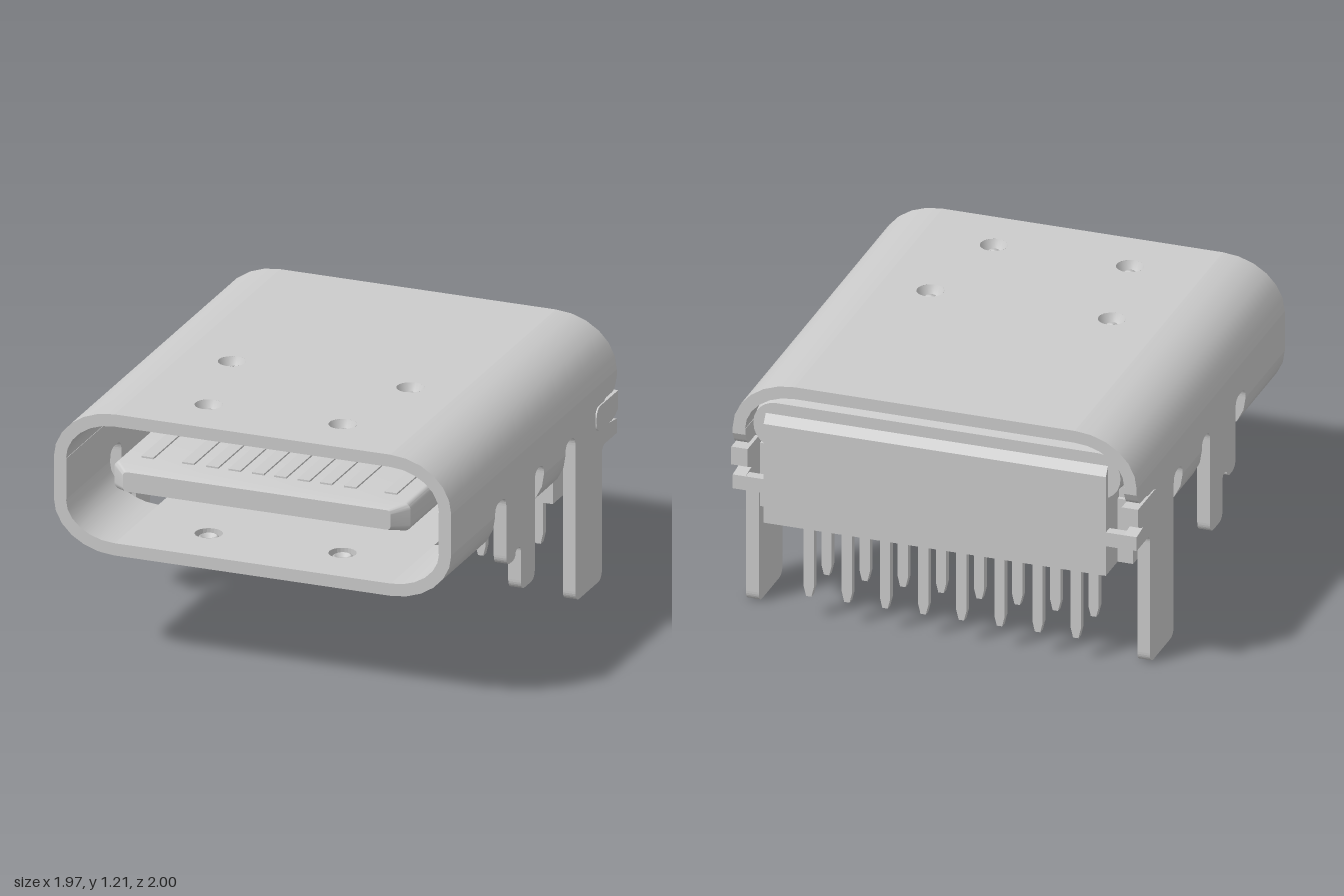
import * as THREE from 'three';
import { toCreasedNormals } from 'three/addons/utils/BufferGeometryUtils.js';

const material = new THREE.MeshStandardMaterial({ color: 0xcccccc });
const thinMaterial = new THREE.MeshStandardMaterial({ color: 0xcccccc, side: THREE.DoubleSide });

// Shell size: outer half width, corner centre and wall thickness
const HW = 0.98, CX = 0.68, TOP = 1.21, BOTTOM = 0.52, WALL = 0.06;
const SIDE_TOP = 0.96, SIDE_LOW = 0.76;

export function createModel() {
  const model = new THREE.Group();

  const add = (name, geometry, x = 0, y = 0, z = 0, mat = material) => {
    const mesh = new THREE.Mesh(geometry, mat);
    mesh.name = name;
    mesh.position.set(x, y, z);
    model.add(mesh);
    return mesh;
  };
  const box = (name, x0, x1, y0, y1, z0, z1) =>
    add(name, new THREE.BoxGeometry(x1 - x0, y1 - y0, z1 - z0), (x0 + x1) / 2, (y0 + y1) / 2, (z0 + z1) / 2);
  const extrude = (shape, depth, curveSegments = 8) =>
    new THREE.ExtrudeGeometry(shape, { depth, bevelEnabled: false, curveSegments });

  // Polygon whose corners [x, y, radius] may be rounded
  const roundedPolygon = (corners) => {
    const shape = new THREE.Shape();
    const v = corners.map(([x, y]) => new THREE.Vector2(x, y));
    corners.forEach(([x, y, r = 0], i) => {
      const prev = v[(i + v.length - 1) % v.length], next = v[(i + 1) % v.length];
      const toward = (p) => p.clone().sub(v[i]).setLength(r).add(v[i]);
      const a = toward(prev), b = toward(next);
      if (i === 0) shape.moveTo(a.x, a.y); else shape.lineTo(a.x, a.y);
      if (r > 0) shape.quadraticCurveTo(x, y, b.x, b.y);
    });
    return shape;
  };

  // Capped loft through rounded rectangles {z, w, y0, y1, r}
  const loft = (rings) => {
    const steps = 6, n = 4 * (steps + 1), pos = [], idx = [];
    for (const { z, w, y0, y1, r } of rings) {
      for (let c = 0; c < 4; c++) {
        const cx = (c === 0 || c === 3 ? 1 : -1) * (w - r);
        const cy = c < 2 ? y1 - r : y0 + r;
        for (let s = 0; s <= steps; s++) {
          const a = (c + s / steps) * Math.PI / 2;
          pos.push(cx + r * Math.cos(a), cy + r * Math.sin(a), z);
        }
      }
      pos.push(0, (y0 + y1) / 2, z);
    }
    const last = (rings.length - 1) * (n + 1);
    for (let i = 0; i < n; i++) {
      const j = (i + 1) % n;
      for (let k = 0; k < rings.length - 1; k++) {
        const a = k * (n + 1), b = a + n + 1;
        idx.push(a + i, a + j, b + j, a + i, b + j, b + i);
      }
      idx.push(n, j, i, last + n, last + i, last + j);
    }
    const g = new THREE.BufferGeometry();
    g.setAttribute('position', new THREE.Float32BufferAttribute(pos, 3));
    g.setIndex(idx);
    return toCreasedNormals(g, 0.5);
  };

  // Flat top and bottom of the shell, pierced for the dimples
  const plate = (name, y, z0, dimples, up) => {
    const shape = roundedPolygon([[-CX, z0], [CX, z0], [CX, 1], [-CX, 1]]);
    for (const [x, z] of dimples) shape.holes.push(new THREE.Path().absarc(x, z, 0.065, 0, Math.PI * 2, true));
    add(name, extrude(shape, WALL, 12).rotateX(Math.PI / 2), 0, up ? y : y + WALL, 0);
    const profile = [[0.065, 0], [0.045, -0.045], [0.035, -0.05], [0.025, -0.03], [0, -0.025]];
    for (const [x, z] of dimples) {
      const cup = new THREE.LatheGeometry(profile.map((p) => new THREE.Vector2(...p)), 20);
      if (!up) cup.rotateX(Math.PI);
      add('dimple', cup, x, y, z, thinMaterial);
    }
  };
  const frontDimples = [[-0.33, 0.72], [0.33, 0.72]];
  plate('shellTop', TOP, -1, [...frontDimples, [-0.44, 0.17], [0.44, 0.17]], true);
  plate('shellBottom', BOTTOM, -0.38, frontDimples, false);

  // Curved shell corners, cut into lengths along z
  const shellCorner = (name, side, up, z0, z1) => {
    const cy = up ? SIDE_TOP : SIDE_LOW, ry = up ? TOP - SIDE_TOP : SIDE_LOW - BOTTOM;
    const pts = [], steps = 6;
    const arc = (a, inset) => pts.push(new THREE.Vector2(
      side * (CX + (HW - CX - inset) * Math.cos(a)),
      cy + (up ? 1 : -1) * (ry - inset) * Math.sin(a)));
    for (let i = 0; i <= steps; i++) arc(i / steps * Math.PI / 2, 0);
    for (let i = steps; i >= 0; i--) arc(i / steps * Math.PI / 2, WALL);
    add(name, toCreasedNormals(extrude(new THREE.Shape(pts), z1 - z0), 0.5), 0, 0, z0);
  };

  // Side wall with its slots, solder legs and rear arm, as (z, y)
  const sideWall = roundedPolygon([
    [1, SIDE_TOP], [1, SIDE_LOW], [0.47, SIDE_LOW],
    [0.47, 0.815, 0.05], [0.335, 0.815, 0.05],
    [0.335, 0.47, 0.05], [0.22, 0.47, 0.04], [0.22, 0.51, 0.02], [0.16, 0.51, 0.025],
    [0.16, 0.29, 0.05], [-0.01, 0.29, 0.05],
    [-0.01, 0.815, 0.05], [-0.12, 0.815, 0.05], [-0.12, SIDE_LOW], [-0.38, SIDE_LOW],
    [-0.38, 0.815, 0.05], [-0.5, 0.815, 0.05],
    [-0.5, 0, 0.05], [-0.82, 0, 0.05], [-0.82, 0.65, 0.04],
    [-1, 0.65], [-1, 0.72], [-0.85, 0.74, 0.03], [-0.8, 0.8, 0.02],
    [-0.85, 0.87, 0.03], [-0.97, 0.87, 0.03], [-1, 0.93],  [-1, SIDE_TOP],
  ]);
  // Latch lying in the rear notch of the side wall
  const latch = roundedPolygon([[-0.74, 0.74, 0.05], [-0.74, 0.86, 0.05], [-1, 0.86], [-1, 0.77], [-0.94, 0.74, 0.03]]);

  for (const side of [-1, 1]) {
    shellCorner('upperCorner', side, true, -1, 1);
    shellCorner('lowerCornerFront', side, false, 0.47, 1);
    shellCorner('lowerCornerRear', side, false, -0.38, -0.12);
    const wall = extrude(sideWall, 0.062).rotateY(-Math.PI / 2);
    add('sideWallWithLegs', wall, side > 0 ? HW : -HW + 0.062, 0, 0);
    const clip = extrude(latch, 0.08).rotateY(-Math.PI / 2);
    add('rearLatch', clip, side > 0 ? 0.987 : -0.907, 0, 0);
    // Arm end folded in behind the housing
    box('foldedArm', side > 0 ? 0.82 : -HW, side > 0 ? HW : -0.82, 0.65, 0.72, -1, -0.95);
    box('housingPeg', side * 0.74 - 0.04, side * 0.74 + 0.04, 0.47, 0.52, -0.62, -0.52);
    // Ribbed foot under the shell
    add('ribbedFoot', new THREE.CylinderGeometry(0.052, 0.052, 0.04, 16), side * 0.48, 0.505, -0.25);
    for (let i = -2; i <= 2; i++) {
      box('footRib', side * 0.48 + i * 0.02 - 0.004, side * 0.48 + i * 0.02 + 0.004, 0.48, 0.5, -0.28, -0.22);
    }
  }

  // Insulating housing inside the shell
  add('housing', loft([
    { z: -0.97, w: 0.89, y0: 0.87, y1: 1.1, r: 0.11 },
    { z: -0.82, w: 0.9, y0: 0.87, y1: 1.13, r: 0.11 },
  ]));
  add('housingCore', loft([
    { z: -0.82, w: 0.9, y0: 0.6, y1: 1.14, r: 0.24 },
    { z: -0.06, w: 0.9, y0: 0.6, y1: 1.14, r: 0.24 },
  ]));
  box('housingBase', -0.905, 0.905, 0.5, 0.82, -0.84, -0.41);
  const rear = roundedPolygon([[-1, 0.5], [-0.8, 0.5], [-0.8, 1.12], [-0.93, 1.1], [-1, 1]]);
  add('rearBlock', extrude(rear, 1.66).rotateY(-Math.PI / 2), 0.83, 0, 0);

  // Funnel leading to the raised root of the tongue
  add('tongueRoot', loft([
    { z: -0.08, w: 0.79, y0: 0.6, y1: 1.14, r: 0.2 },
    { z: -0.02, w: 0.79, y0: 0.6, y1: 1.14, r: 0.2 },
    { z: 0.08, w: 0.74, y0: 0.74, y1: 1.0, r: 0.12 },
    { z: 0.3, w: 0.73, y0: 0.75, y1: 0.99, r: 0.115 },
  ]));
  add('tongue', loft([
    { z: 0.2, w: 0.73, y0: 0.8, y1: 0.935, r: 0.03 },
    { z: 0.88, w: 0.73, y0: 0.8, y1: 0.935, r: 0.03 },
    { z: 0.95, w: 0.66, y0: 0.82, y1: 0.915, r: 0.02 },
  ]));

  // Contact strips on both faces of the tongue
  for (const x of [-0.6, -0.4, -0.28, -0.17, -0.055, 0.055, 0.17, 0.28, 0.4, 0.6]) {
    box('upperContact', x - 0.03, x + 0.03, 0.93, 0.943, 0.28, 0.8);
    box('lowerContact', x - 0.03, x + 0.03, 0.792, 0.805, 0.28, 0.8);
  }

  // Two rows of tapered solder pins
  const pin = roundedPolygon([
    [-0.025, 0.53], [-0.025, 0.16], [-0.013, 0.11], [0.013, 0.11], [0.025, 0.16], [0.025, 0.53],
  ]);
  for (const z of [-0.88, -0.64]) {
    for (let i = 0; i < 8; i++) add('solderPin', extrude(pin, 0.036), (i - 3.5) * 0.185, 0, z - 0.018);
  }

  return model;
}
